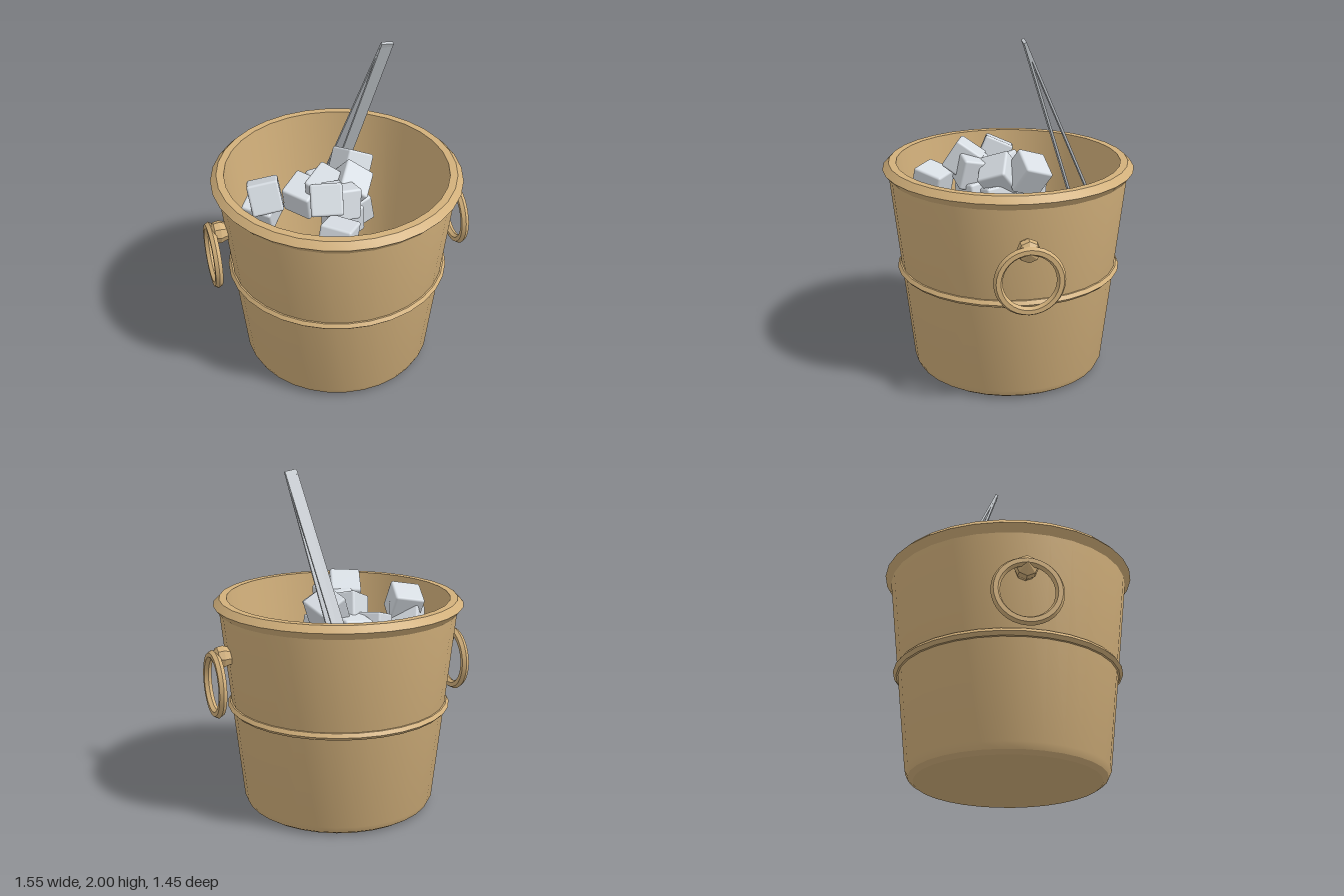
import * as THREE from 'three';
import { toCreasedNormals } from 'three/addons/utils/BufferGeometryUtils.js';
import { RoundedBoxGeometry } from 'three/addons/geometries/RoundedBoxGeometry.js';

const material = (name, color) => {
  const m = new THREE.MeshStandardMaterial({ color });
  m.name = name;
  return m;
};

export function createModel() {
  const model = new THREE.Group();
  model.name = 'iceBucket';
  const brass = material('brass', 0xd2b07b);
  const ice = material('ice', 0xd6dce2);
  const steel = material('steel', 0xc6cbd0);

  const add = (parent, name, geometry, mat) => {
    const mesh = new THREE.Mesh(geometry, mat);
    mesh.name = name;
    parent.add(mesh);
    return mesh;
  };
  const lathe = (points, segments) =>
    new THREE.LatheGeometry(points.map(([r, y]) => new THREE.Vector2(r, y)), segments);

  // Hollow tapered bucket with a bevelled rim
  add(model, 'bucket', toCreasedNormals(lathe([
    [0, 0], [0.52, 0], [0.55, 0.02], [0.567, 0.055], [0.69, 1.18], [0.725, 1.222],
    [0.69, 1.258], [0.647, 1.258], [0.53, 0.07], [0, 0.07],
  ], 32), 0.5), brass);

  // Raised band round the middle
  add(model, 'band', toCreasedNormals(lathe([
    [0.62, 0.6], [0.637, 0.603], [0.655, 0.622], [0.64, 0.643], [0.62, 0.645],
  ], 32), 0.5), brass);

  // Ring handles hanging from pointed knobs
  for (const side of [1, -1]) {
    const handle = new THREE.Group();
    handle.name = side > 0 ? 'leftHandle' : 'rightHandle';
    const ring = add(handle, 'ring', toCreasedNormals(new THREE.TorusGeometry(0.17, 0.025, 6, 32), 0.6), brass);
    ring.rotation.y = Math.PI / 2;
    ring.position.set(0.75, 0.803, 0);
    const knob = add(handle, 'knob', toCreasedNormals(lathe([
      [0.045, 0.63], [0.058, 0.68], [0.066, 0.7], [0.06, 0.735], [0, 0.775],
    ], 8), 0.4), brass);
    knob.rotation.z = -Math.PI / 2;
    knob.position.y = 0.96;
    handle.rotation.y = side > 0 ? 0 : Math.PI;
    model.add(handle);
  }

  // Ice cubes: x, y, z, then tilt about x, y, z
  const cubes = [
    [-0.43, 1.17, 0.02, -0.4, -0.2, 0.1],
    [-0.44, 1.08, 0.0, 0.2, 0.9, 0.3],
    [-0.18, 1.06, -0.08, 0.15, 0.75, 0.2],
    [-0.03, 1.07, -0.12, -0.1, 0.1, 0.1],
    [0.11, 1.2, -0.1, -0.35, 0.35, -0.4],
    [-0.07, 1.16, 0.02, 0.3, 0.7, 0.2],
    [0.06, 1.18, 0.06, 0.4, -0.5, -0.45],
    [0.07, 1.03, 0.07, 0.1, 0.3, 0.2],
    [-0.04, 1.18, 0.2, -0.2, 0.15, -0.1],
    [-0.02, 1.04, 0.18, 0.1, 0.5, 0.1],
    [-0.13, 1.23, 0.24, -0.6, -0.25, -0.1],
    [-0.12, 1.1, 0.43, -0.3, -0.6, -0.25],
  ];
  const cubeGeometry = new RoundedBoxGeometry(0.18, 0.18, 0.18, 2, 0.014);
  const pile = new THREE.Group();
  pile.name = 'iceCubes';
  for (const [x, y, z, rx, ry, rz] of cubes) {
    const cube = add(pile, 'iceCube', cubeGeometry, ice);
    cube.position.set(x, y, z);
    cube.rotation.set(rx, ry, rz);
  }
  model.add(pile);

  // Tongs: two thin arms joined at the top
  const tongs = new THREE.Group();
  tongs.name = 'tongs';
  const addArm = (name, top, end) => {
    const from = new THREE.Vector3(...top);
    const to = new THREE.Vector3(...end);
    const up = from.clone().sub(to);
    const arm = add(tongs, name, new THREE.BoxGeometry(0.07, up.length(), 0.013), steel);
    arm.position.copy(from).add(to).multiplyScalar(0.5);
    up.normalize();
    const across = new THREE.Vector3(1, 0, 0).addScaledVector(up, -up.x).normalize();
    const out = new THREE.Vector3().crossVectors(across, up);
    arm.quaternion.setFromRotationMatrix(new THREE.Matrix4().makeBasis(across, up, out));
  };
  addArm('backArm', [0.297, 1.991, -0.04], [0.08, 0.74, -0.595]);
  addArm('frontArm', [0.297, 1.985, -0.04], [0.072, 0.68, -0.465]);
  const hinge = add(tongs, 'hinge', new THREE.BoxGeometry(0.07, 0.03, 0.018), steel);
  hinge.position.set(0.295, 1.978, -0.044);
  hinge.rotation.set(0.4, 0, -0.17);
  model.add(tongs);

  return model;
}
